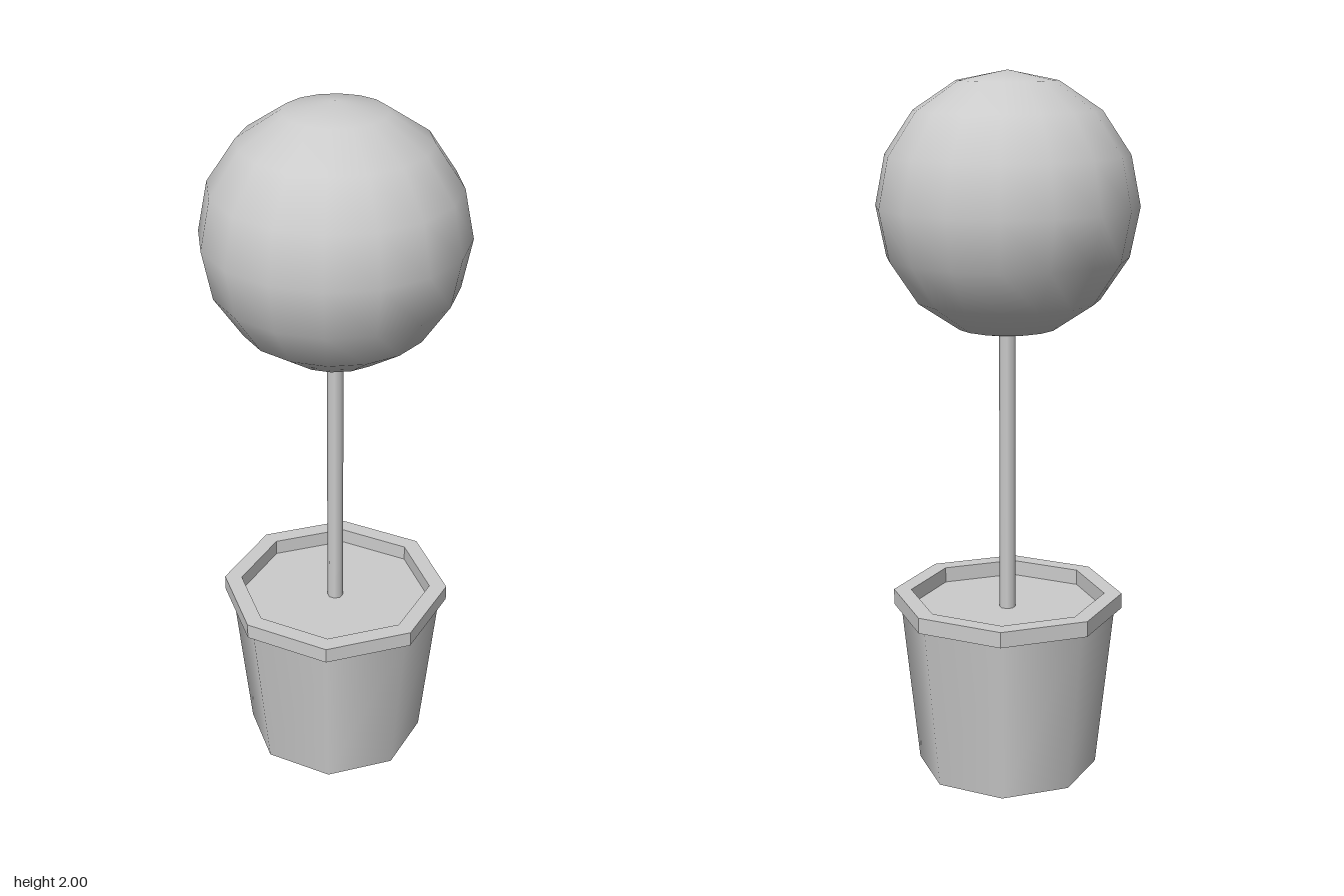
import * as THREE from 'three';

const SIDES = 8;

export function createModel() {
  const group = new THREE.Group();
  const smooth = new THREE.MeshStandardMaterial({ color: 0xcccccc });
  const flat = new THREE.MeshStandardMaterial({ color: 0xcccccc, flatShading: true });

  const add = (name, geometry, y = 0, material = smooth) => {
    const mesh = new THREE.Mesh(geometry, material);
    mesh.name = name;
    mesh.position.y = y;
    group.add(mesh);
    return mesh;
  };

  // Tapered eight-sided pot with a closed base
  add('potWall', new THREE.CylinderGeometry(0.31, 0.26, 0.48, SIDES, 1, true), 0.24);
  add('potBase', new THREE.CircleGeometry(0.26, SIDES).rotateX(Math.PI / 2));

  // Rim: overhanging underside, outer wall, top and inner wall
  const rimProfile = [[0.31, 0.48], [0.33, 0.48], [0.33, 0.525], [0.28, 0.525], [0.28, 0.48]];
  add('potRim', new THREE.LatheGeometry(
    rimProfile.map(([r, y]) => new THREE.Vector2(r, y)), SIDES), 0, flat);

  // Soil level with the bottom of the rim
  add('soil', new THREE.CircleGeometry(0.28, SIDES).rotateX(-Math.PI / 2), 0.48);

  // Thin trunk running from the soil into the foliage
  const trunkBottom = 0.48, trunkTop = 1.32;
  add('trunk', new THREE.CylinderGeometry(0.023, 0.023, trunkTop - trunkBottom, SIDES),
    (trunkBottom + trunkTop) / 2);

  // Clipped ball of foliage
  add('foliage', new THREE.SphereGeometry(0.363, 16, 8), 1.637);

  return group;
}
